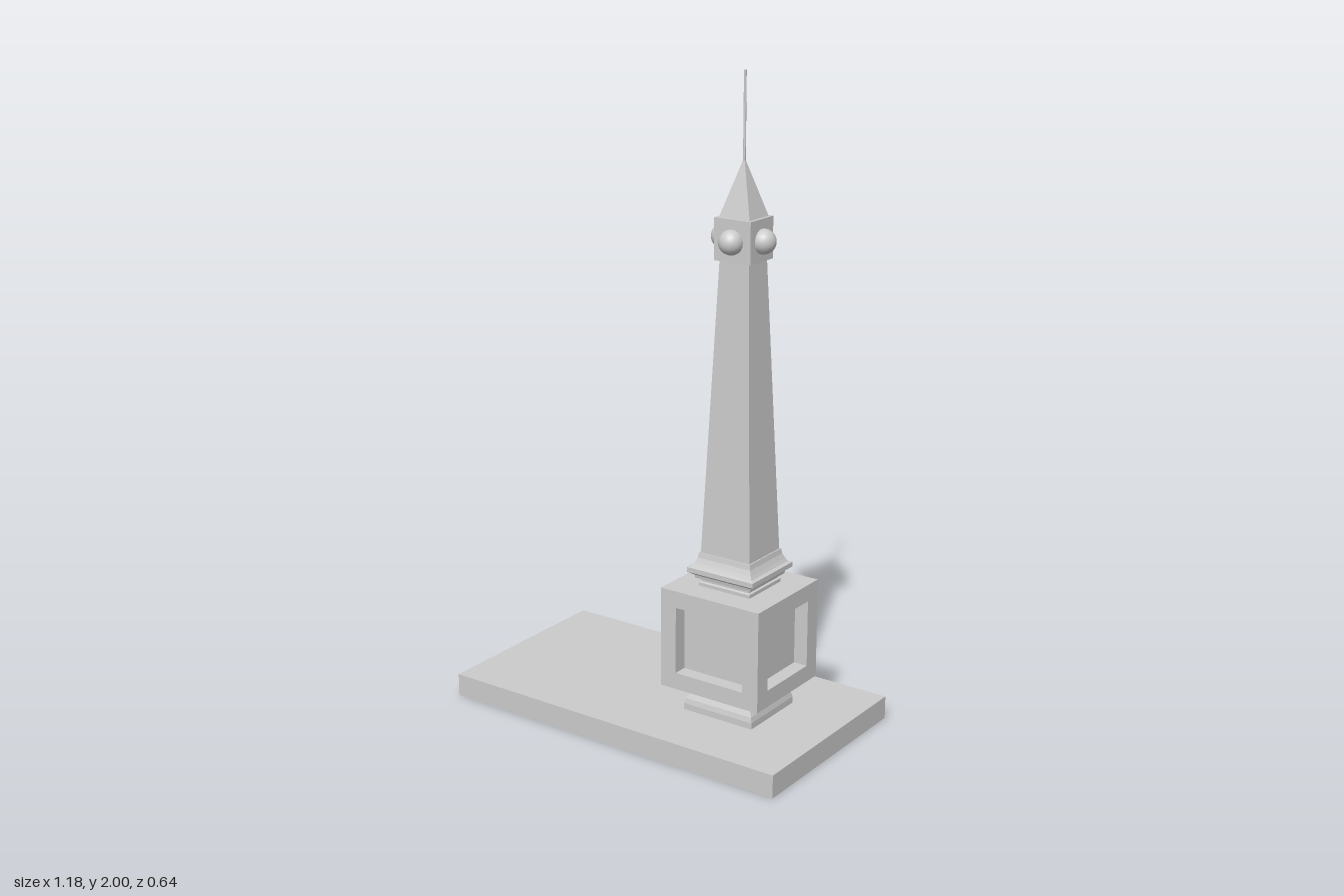
import * as THREE from 'three';

const material = new THREE.MeshStandardMaterial({ color: 0xcccccc, flatShading: true, side: THREE.DoubleSide });
const smooth = new THREE.MeshStandardMaterial({ color: 0xcccccc });
const DEPTH_RATIO = 0.94; // the tower is slightly narrower in z than in x

function add(parent, name, geometry, mat = material) {
  const mesh = new THREE.Mesh(geometry, mat);
  mesh.name = name;
  parent.add(mesh);
  return mesh;
}

// Rectangular shell through a profile of [half width, height], from bottom to top
function rectLoft(profile, ratio = DEPTH_RATIO) {
  const signs = [[-1, 1], [1, 1], [1, -1], [-1, -1]];
  const corner = ([r, y], i) => [signs[i % 4][0] * r, y, signs[i % 4][1] * r * ratio];
  const pos = [];
  for (let k = 0; k < profile.length - 1; k++) {
    const lo = profile[k], hi = profile[k + 1];
    for (let i = 0; i < 4; i++) {
      const a = corner(lo, i), b = corner(lo, i + 1), c = corner(hi, i + 1), d = corner(hi, i);
      if (lo[0] > 0) pos.push(...a, ...b, ...c);
      if (hi[0] > 0) pos.push(...a, ...c, ...d);
    }
  }
  const g = new THREE.BufferGeometry();
  g.setAttribute('position', new THREE.Float32BufferAttribute(pos, 3));
  g.computeVertexNormals();
  return g;
}

function rectPath(PathType, hw, hh, cx = 0, cy = 0) {
  return new PathType([[-1, -1], [1, -1], [1, 1], [-1, 1]].map(([x, y]) => new THREE.Vector2(cx + x * hw, cy + y * hh)));
}

export function createModel() {
  const model = new THREE.Group();
  model.name = 'obelisk';
  const towerX = 0.257, towerZ = -0.003;

  // Base slab: hollow below, open under the tower foot
  const base = new THREE.Group();
  base.name = 'base';
  model.add(base);
  add(base, 'baseWalls', rectLoft([[0.589, 0], [0.589, 0.072]], 0.32 / 0.589));
  const topShape = rectPath(THREE.Shape, 0.589, 0.32);
  topShape.holes.push(rectPath(THREE.Path, 0.12, 0.113, towerX, -towerZ));
  add(base, 'baseTop', new THREE.ShapeGeometry(topShape).rotateX(-Math.PI / 2).translate(0, 0.072, 0));

  const tower = new THREE.Group();
  tower.name = 'tower';
  tower.position.set(towerX, 0, towerZ);
  model.add(tower);

  // Moulded foot
  add(tower, 'foot', rectLoft([
    [0.122, 0.072], [0.122, 0.092], [0.118, 0.108], [0.11, 0.122], [0.098, 0.131],
    [0.098, 0.137], [0.1, 0.146], [0.108, 0.157],
  ]));

  // Pedestal: a core with a framed, recessed panel on each side
  const pedestal = new THREE.Group();
  pedestal.name = 'pedestal';
  tower.add(pedestal);
  const hx = 0.173, hz = 0.163, y0 = 0.157, y1 = 0.472, recess = 0.045;
  const midY = (y0 + y1) / 2, height = y1 - y0;
  add(pedestal, 'pedestalCore', new THREE.BoxGeometry(2 * (hx - recess), height, 2 * (hz - recess)).translate(0, midY, 0));
  for (let i = 0; i < 4; i++) {
    const [halfWidth, dist, panel] = i % 2 ? [hz, hx, 0.109] : [hx, hz, 0.119];
    const frame = rectPath(THREE.Shape, halfWidth, height / 2);
    frame.holes.push(rectPath(THREE.Path, panel, 0.105));
    const g = new THREE.ExtrudeGeometry(frame, { depth: recess, bevelEnabled: false });
    g.translate(0, midY, dist - recess).rotateY(i * Math.PI / 2);
    add(pedestal, 'panelFrame', g);
  }

  // Stepped moulding between pedestal and shaft
  add(tower, 'moulding', rectLoft([
    [0.09, 0.472], [0.09, 0.483], [0.084, 0.486], [0.084, 0.492], [0.098, 0.498], [0.1, 0.508],
    [0.116, 0.518], [0.116, 0.533], [0.106, 0.537], [0.1, 0.547], [0.093, 0.562], [0.09, 0.578], [0.086, 0.578],
  ]));

  // Tapering shaft
  add(tower, 'shaft', rectLoft([[0.086, 0.578], [0.05, 1.463]]));

  // Head block with a dome on each side
  add(tower, 'head', rectLoft([[0, 1.463], [0.062, 1.463], [0.062, 1.587], [0, 1.587]]));
  const dome = new THREE.SphereGeometry(0.037, 20, 14);
  for (let i = 0; i < 4; i++) {
    const angle = i * Math.PI / 2;
    const mesh = add(tower, 'dome', dome, smooth);
    mesh.position.set(Math.sin(angle) * 0.068, 1.523, Math.cos(angle) * 0.064);
    mesh.rotation.set(Math.PI / 2, 0, -angle);
  }

  // Spire and thin rod
  add(tower, 'spire', rectLoft([[0.052, 1.587], [0, 1.757]]));
  add(tower, 'rod', new THREE.CylinderGeometry(0.004, 0.004, 0.26, 8).translate(0, 1.87, 0));

  return model;
}
